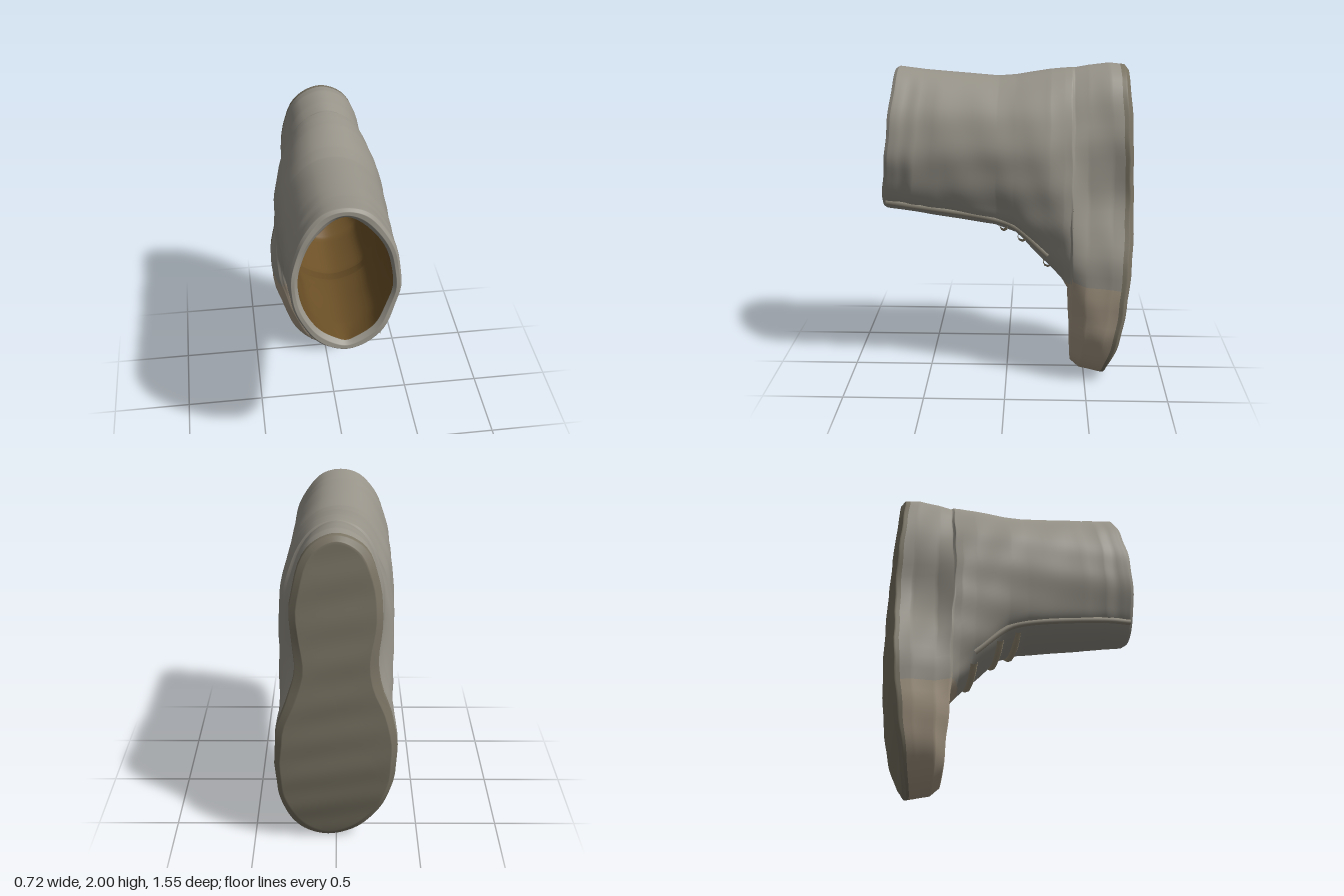
import * as THREE from 'three';

const LEVELS = [0.03, 0.1, 0.2, 0.4, 0.6, 0.8, 0.96];
const RING = 96, STEPS = 10;

// Slices through the boot: [z, lowest y, highest y, centre x, half widths at LEVELS]
const OUTER = [
  [-0.775, 0.03, 1.96, 0, [0.13, 0.24, 0.31, 0.31, 0.19, 0.22, 0.135]],
  [-0.75, 0.00, 1.99, 0, [0.155, 0.265, 0.335, 0.35, 0.24, 0.255, 0.16]],
  [-0.65, 0.01, 2.00, 0, [0.15, 0.26, 0.33, 0.35, 0.235, 0.26, 0.16]],
  [-0.50, 0.03, 1.985, 0, [0.14, 0.245, 0.305, 0.34, 0.27, 0.27, 0.155]],
  [-0.41, 0.08, 1.97, 0, [0.13, 0.205, 0.26, 0.335, 0.33, 0.28, 0.145]],
  [-0.395, 0.58, 1.97, 0, [0.23, 0.28, 0.315, 0.335, 0.325, 0.27, 0.14]],
  [-0.35, 0.65, 1.968, 0, [0.21, 0.27, 0.31, 0.34, 0.33, 0.27, 0.14]],
  [-0.26, 0.74, 1.96, 0, [0.17, 0.25, 0.30, 0.335, 0.335, 0.275, 0.14]],
  [-0.06, 0.94, 1.925, -0.01, [0.15, 0.24, 0.285, 0.325, 0.33, 0.27, 0.135]],
  [0.05, 0.99, 1.915, -0.015, [0.15, 0.24, 0.28, 0.32, 0.325, 0.265, 0.135]],
  [0.50, 1.065, 1.95, -0.025, [0.14, 0.22, 0.265, 0.31, 0.305, 0.245, 0.13]],
  [0.65, 1.08, 1.97, -0.025, [0.11, 0.19, 0.245, 0.305, 0.30, 0.24, 0.125]],
];

const inset = ([z, y0, y1, cx, w], d, dz = 0) =>
  [z + dz, y0 + d, y1 - d, cx, w.map((v) => Math.max(0.04, v - d * 0.85))];

// Smaller copy of a slice about height y
const shrink = ([z, y0, y1, cx, w], s, y = 1, newZ = z) =>
  [newZ, y + (y0 - y) * s, y + (y1 - y) * s, cx, w.map((v) => v * s)];

const lerp = THREE.MathUtils.lerp;
const mix = (a, b, t) => [
  ...[0, 1, 2, 3].map((k) => lerp(a[k], b[k], t)),
  a[4].map((v, k) => lerp(v, b[4][k], t)),
];

// Toe spring and heel curve on the sole; slanted opening on the shaft
function bendZ(y, z) {
  const toe = 0.15 * Math.pow(Math.max(0, (1.1 - y) / 1.1), 2.5);
  const heel = 0.05 * Math.pow(Math.max(0, (y - 1.1) / 0.9), 2);
  const nearSole = THREE.MathUtils.clamp((-0.41 - z) / 0.36, 0, 1);
  const nearRim = Math.max(0, (z + 0.1) / 0.77);
  return z + (toe + heel) * nearSole + nearRim * 0.1 * (1.97 - y) / 0.87;
}

function ringPoints([z, y0, y1, cx, w], worn) {
  const side = (s) => LEVELS.map((f, k) => new THREE.Vector3(cx + s * w[k], lerp(y0, y1, f), 0));
  const curve = new THREE.CatmullRomCurve3(
    [new THREE.Vector3(cx, y0, 0), ...side(1), new THREE.Vector3(cx, y1, 0), ...side(-1).reverse()],
    true, 'centripetal');
  // Shallow ribs round the cuff
  const rib = worn && z > 0.36 && z < 0.6 ? 1 + 0.012 * Math.sin((z - 0.36) * 52) : 1;
  return Array.from({ length: RING }, (_, j) => {
    const p = curve.getPoint(j / RING);
    const bump = 0.005 * Math.sin(9 * p.y + 13 * z) * Math.sin(17 * p.y - 11 * z + 5 * p.x);
    const x = cx + (p.x - cx) * rib * (1 + bump * 3) + 0.05 * Math.pow(Math.max(0, 1 - p.y / 0.7), 1.5);
    return new THREE.Vector3(x, p.y, bendZ(p.y, z) + bump);
  });
}

function createBoot() {
  const rim = OUTER[OUTER.length - 1];
  const lining = OUTER.slice(8).reverse().map((s) => inset(s, 0.055));
  const deepest = lining[lining.length - 1];
  const keys = [
    ...[0.02, 0.3, 0.6, 0.85].map((s) => shrink(OUTER[0], s)),
    ...OUTER,
    inset(rim, 0.012, 0.02), inset(rim, 0.035, 0.02),
    ...lining,
    shrink(deepest, 0.95, 1.4, -0.4), shrink(deepest, 0.7, 1.4, -0.58), shrink(deepest, 0.1, 1.4, -0.6),
  ];
  const liningStart = (4 + OUTER.length + 2) * STEPS;

  const slices = [];
  keys.forEach((key, i) => {
    const next = keys[i + 1];
    for (let s = 0; s < (next ? STEPS : 1); s++) slices.push(next ? mix(key, next, s / STEPS) : key);
  });
  const points = slices.flatMap((s, i) => ringPoints(s, i < liningStart));
  const parts = { sole: [], toeCap: [], upper: [], lining: [] };

  for (let i = 0; i < slices.length - 1; i++) {
    for (let j = 0; j < RING; j++) {
      const k = (j + 1) % RING;
      const a = i * RING + j, b = i * RING + k, c = b + RING, d = a + RING;
      let part = 'upper';
      if (i >= liningStart) part = 'lining';
      else if (slices[i][0] < -0.73) part = 'sole';
      else if (points[a].y < 0.66 && points[d].y < 0.7) part = 'toeCap';
      parts[part].push(a, b, c, a, c, d);
    }
  }
  // Close the middle of the sole and the bottom of the lining
  const last = (slices.length - 1) * RING;
  for (let j = 1; j < RING - 1; j++) {
    parts.sole.push(0, j + 1, j);
    parts.lining.push(last, last + j, last + j + 1);
  }

  // All parts share one set of smooth normals
  const whole = new THREE.BufferGeometry().setFromPoints(points);
  whole.setIndex(Object.values(parts).flat());
  whole.computeVertexNormals();

  const colors = { sole: 0x7a7464, toeCap: 0xa89a86, upper: 0x98948a, lining: 0x6e5228 };
  return Object.entries(parts).map(([name, index]) => {
    const geometry = new THREE.BufferGeometry();
    geometry.setAttribute('position', whole.attributes.position);
    geometry.setAttribute('normal', whole.attributes.normal);
    geometry.setIndex(index);
    const mesh = new THREE.Mesh(geometry, new THREE.MeshStandardMaterial({ color: colors[name] }));
    mesh.name = name;
    return mesh;
  });
}

function createTube(name, points, radius, color) {
  const path = new THREE.CatmullRomCurve3(points.map(([x, y, z]) => new THREE.Vector3(x, y, bendZ(y, z))));
  const mesh = new THREE.Mesh(
    new THREE.TubeGeometry(path, 32, radius, 8), new THREE.MeshStandardMaterial({ color }));
  mesh.name = name;
  return mesh;
}

// Worn lace ridges across the instep
function createLaces() {
  const laces = new THREE.Group();
  laces.name = 'laces';
  for (const [z, y, r] of [[-0.26, 0.745, 0.03], [-0.1, 0.91, 0.03], [0, 0.975, 0.026]]) {
    const across = [[-0.2, 0.06], [-0.12, 0.018], [0, 0], [0.12, 0.018], [0.2, 0.06]];
    laces.add(createTube('lace', across.map(([x, dy]) => [x, y + dy, z]), r, 0xa0947c));
  }
  return laces;
}

// Edges of the two front flaps, running from the instep to the opening
function createFlapEdges() {
  const flaps = new THREE.Group();
  flaps.name = 'flapEdges';
  for (const s of [-1, 1]) {
    const edge = OUTER.slice(7).map(([z, y0, y1, cx, w]) =>
      [cx + s * (w[1] - 0.015), lerp(y0, y1, 0.09), z]);
    flaps.add(createTube('flapEdge', edge, 0.02, 0x8f897b));
  }
  return flaps;
}

export function createModel() {
  const boot = new THREE.Group();
  boot.name = 'boot';
  boot.add(...createBoot(), createLaces(), createFlapEdges());
  return boot;
}
